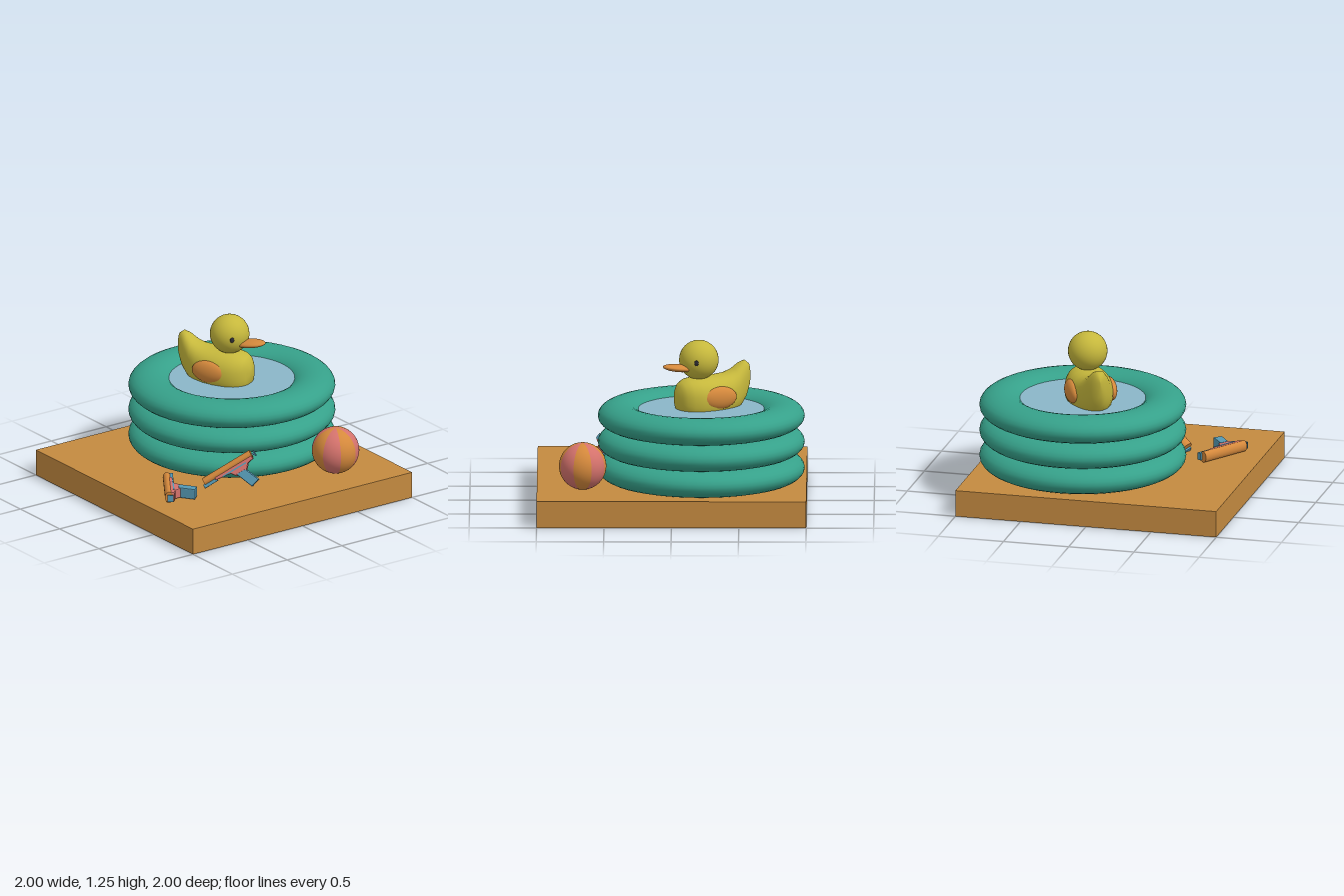
import * as THREE from 'three';

const mat = (color, side = THREE.FrontSide) => new THREE.MeshStandardMaterial({ color, side });
const WOOD = mat(0xc48a40), TEAL = mat(0x36a18a), WATER = mat(0x8ab6c8), YELLOW = mat(0xc6b83c);
const ORANGE = mat(0xd5893c), PINK = mat(0xd4726c), BLUE = mat(0x5599b4), DARK = mat(0x2b2b33);

function add(parent, name, geometry, material, x = 0, y = 0, z = 0) {
  const mesh = new THREE.Mesh(geometry, material);
  mesh.name = name;
  mesh.position.set(x, y, z);
  parent.add(mesh);
  return mesh;
}

function group(parent, name) {
  const g = new THREE.Group();
  g.name = name;
  parent.add(g);
  return g;
}

const ellipsoid = (a, b, c) => new THREE.SphereGeometry(1, 32, 20).scale(a, b, c);

// Plate cut from a side outline, centred on z = 0
function plate(points, halfWidth, bevel = 0.008) {
  const shape = new THREE.Shape(points.map(([x, y]) => new THREE.Vector2(x, y)));
  const depth = 2 * (halfWidth - bevel);
  return new THREE.ExtrudeGeometry(shape, {
    depth, bevelEnabled: true, bevelSize: bevel, bevelThickness: bevel, bevelOffset: -bevel, bevelSegments: 2,
  }).translate(0, 0, -depth / 2);
}

// Duck body: rounded sections along x, each [x, bottom, top, half width]
function duckBody() {
  const sections = [
    [-0.425, 0.96, 1.0, 0.004], [-0.412, 0.87, 1.045, 0.035], [-0.38, 0.79, 1.07, 0.062],
    [-0.34, 0.74, 1.055, 0.088], [-0.29, 0.70, 1.015, 0.115], [-0.23, 0.68, 0.99, 0.14],
    [-0.15, 0.66, 0.98, 0.163], [-0.06, 0.65, 0.98, 0.175], [0.03, 0.65, 0.98, 0.17],
    [0.1, 0.66, 0.97, 0.148], [0.145, 0.69, 0.948, 0.112], [0.17, 0.73, 0.915, 0.075],
    [0.182, 0.8, 0.86, 0.02],
  ];
  const n = 32, rows = sections.length, pos = [], index = [];
  const bend = v => Math.sign(v) * Math.abs(v) ** 0.85;
  for (const [x, bottom, top, w] of sections) {
    for (let j = 0; j < n; j++) {
      const a = (j / n) * Math.PI * 2;
      pos.push(x, (top + bottom) / 2 + bend(Math.sin(a)) * (top - bottom) / 2, bend(Math.cos(a)) * w);
    }
  }
  for (let i = 0; i < rows - 1; i++) {
    for (let j = 0; j < n; j++) {
      const a = i * n + j, b = i * n + (j + 1) % n;
      index.push(a, a + n, b, b, a + n, b + n);
    }
  }
  // End caps
  for (const [row, flip] of [[0, false], [rows - 1, true]]) {
    const s = row * n;
    for (let j = 1; j < n - 1; j++) index.push(s, flip ? s + j + 1 : s + j, flip ? s + j : s + j + 1);
  }
  const g = new THREE.BufferGeometry();
  g.setAttribute('position', new THREE.Float32BufferAttribute(pos, 3));
  g.setIndex(index);
  g.computeVertexNormals();
  return g;
}

function buildDuck(parent) {
  const duck = group(parent, 'toyDuck');
  duck.position.set(-0.2, 0, -0.195);
  duck.rotation.y = 0.48;
  const body = add(duck, 'duckBody', duckBody(), YELLOW.clone());
  body.material.side = THREE.DoubleSide;
  add(duck, 'duckHead', ellipsoid(0.147, 0.147, 0.147), YELLOW, 0, 1.108, 0);
  const beak = add(duck, 'duckBeak', ellipsoid(0.125, 0.028, 0.075), ORANGE, 0.17, 1.06, 0);
  beak.rotation.z = 0.14;
  for (const s of [-1, 1]) {
    add(duck, 'duckWing', ellipsoid(0.14, 0.085, 0.05), ORANGE, -0.1, 0.835, s * 0.143);
    const eye = add(duck, 'duckEye', ellipsoid(0.016, 0.02, 0.008), DARK, 0.082, 1.11, s * 0.121);
    eye.rotation.y = s * 0.6;
  }
}

// Water pistol: barrel along x, grip slanting down towards +x
function buildPistol(parent, position, xAxis, yAxis) {
  const pistol = group(parent, 'waterPistol');
  const x = new THREE.Vector3(...xAxis).normalize();
  const z = x.clone().cross(new THREE.Vector3(...yAxis)).normalize();
  pistol.quaternion.setFromRotationMatrix(new THREE.Matrix4().makeBasis(x, z.clone().cross(x), z));
  pistol.position.set(...position);
  add(pistol, 'barrel', new THREE.CylinderGeometry(1, 1, 0.41, 20).rotateZ(Math.PI / 2).scale(1, 0.03, 0.042), ORANGE);
  add(pistol, 'pistolBody', plate([[-0.12, -0.01], [-0.12, -0.035], [0, -0.05], [0.03, -0.09], [0.115, -0.09],
    [0.15, -0.05], [0.2, -0.04], [0.2, -0.01]], 0.037), PINK);
  add(pistol, 'grip', plate([[0.035, -0.075], [0.087, -0.213], [0.157, -0.195], [0.11, -0.075]], 0.041), BLUE);
  add(pistol, 'underBarrel', new THREE.BoxGeometry(0.11, 0.03, 0.055), BLUE, -0.165, -0.03, 0);
  add(pistol, 'sideStripe', new THREE.BoxGeometry(0.2, 0.01, 0.08), BLUE, 0.04, -0.038, 0);
  add(pistol, 'plunger', new THREE.CylinderGeometry(0.008, 0.008, 0.03, 10).rotateZ(Math.PI / 2), BLUE, 0.215, -0.01, 0);
  add(pistol, 'plungerHandle', new THREE.BoxGeometry(0.008, 0.045, 0.05), BLUE, 0.228, -0.01, 0);
}

export function createModel() {
  const model = new THREE.Group();
  model.name = 'paddlingPool';
  add(model, 'base', new THREE.BoxGeometry(2, 0.2, 2), WOOD, 0, 0.1, 0);

  // Three stacked inflatable rings filled with water
  const pool = group(model, 'pool');
  pool.position.set(-0.218, 0, -0.228);
  for (let i = 0; i < 3; i++) {
    const ring = new THREE.TorusGeometry(0.606, 0.162, 24, 48).rotateX(Math.PI / 2).scale(1, 0.1 / 0.162, 1);
    add(pool, 'poolRing', ring, TEAL, 0, 0.3 + i * 0.197, 0);
  }
  add(pool, 'water', new THREE.CylinderGeometry(0.5, 0.5, 0.53, 48), WATER, 0, 0.48, 0);

  buildDuck(model);

  // Beach ball in alternating segments
  const ball = group(model, 'beachBall');
  ball.position.set(0.66, 0.375, -0.545);
  for (let i = 0; i < 8; i++) {
    const wedge = new THREE.SphereGeometry(0.176, 6, 24, (i - 0.5) * Math.PI / 4, Math.PI / 4);
    add(ball, 'ballSegment', wedge, i % 2 ? PINK : ORANGE);
  }

  // One pistol lies flat, the other leans on the pool
  buildPistol(model, [0.29, 0.245, 0.72], [0.836, 0, 0.549], [-0.549, 0, 0.836]);
  buildPistol(model, [0.43, 0.345, 0.275], [0.43, 0.52, -0.74], [-0.57, 0.8, 0.23]);
  return model;
}
